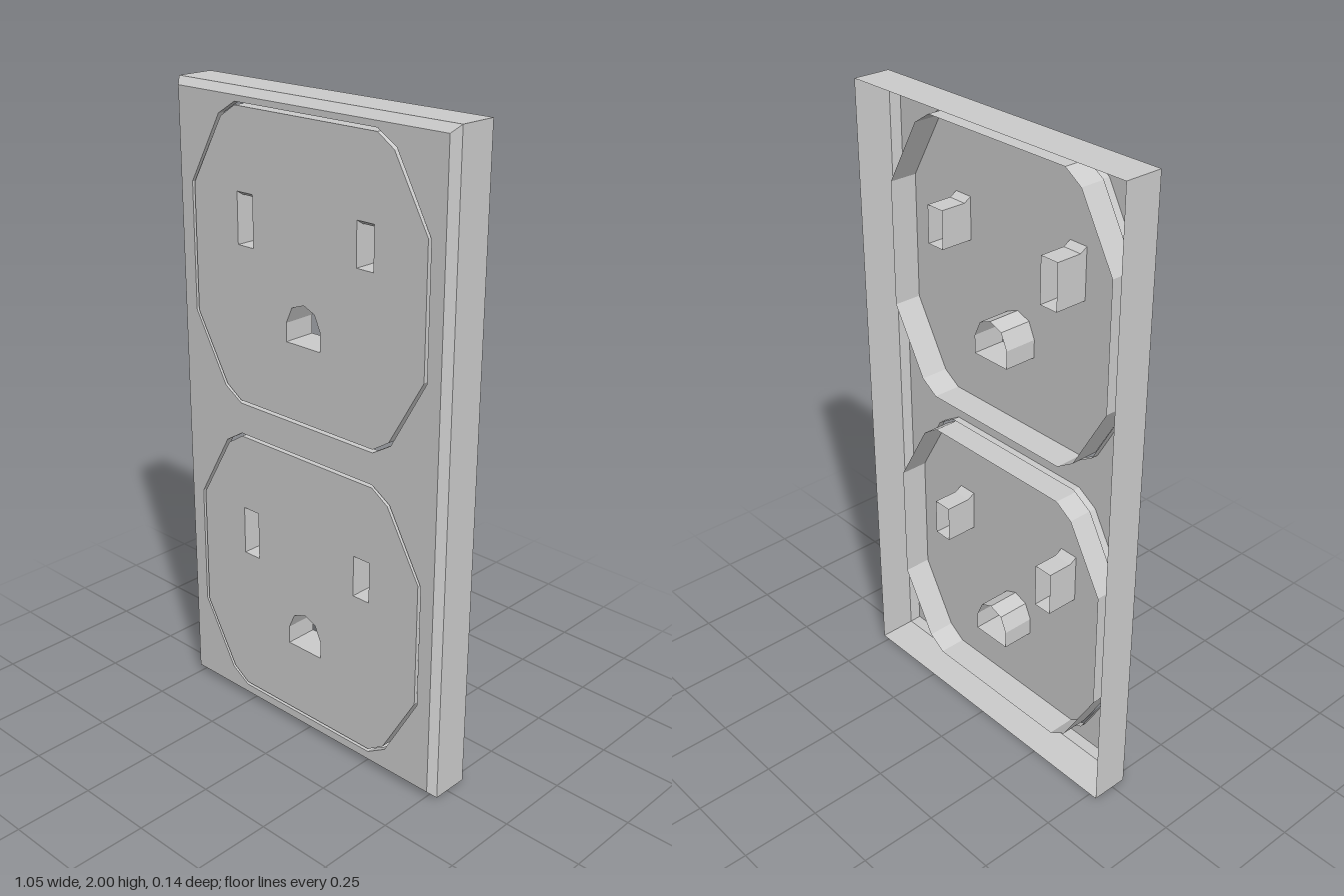
import * as THREE from 'three';

const FRONT = 0.071, BEVEL = 0.048, BACK = -0.073;
const material = new THREE.MeshStandardMaterial({ color: 0xcccccc, flatShading: true, side: THREE.DoubleSide });

function addMesh(parent, name, geometry) {
  const mesh = new THREE.Mesh(geometry, material);
  mesh.name = name;
  parent.add(mesh);
}

// Closed strip of wall joining successive outlines, each { z, points }
function wall(sections) {
  const position = [], index = [];
  const n = sections[0].points.length;
  for (const { z, points } of sections) for (const [x, y] of points) position.push(x, y, z);
  for (let s = 0; s < sections.length - 1; s++) {
    for (let i = 0; i < n; i++) {
      const a = s * n + i, b = s * n + (i + 1) % n;
      index.push(a, a + n, b, b, a + n, b + n);
    }
  }
  const geometry = new THREE.BufferGeometry();
  geometry.setAttribute('position', new THREE.Float32BufferAttribute(position, 3));
  geometry.setIndex(index);
  geometry.computeVertexNormals();
  return geometry;
}

// Flat sheet with holes at the front plane
function sheet(outline, holes) {
  const toVectors = pts => pts.map(([x, y]) => new THREE.Vector2(x, y));
  const shape = new THREE.Shape(toVectors(outline));
  for (const h of holes) shape.holes.push(new THREE.Path(toVectors(h)));
  return new THREE.ShapeGeometry(shape).translate(0, 0, FRONT);
}

const rect = (x0, x1, y0, y1) => [[x0, y0], [x1, y0], [x1, y1], [x0, y1]];

// Twelve-cornered socket outline around a centre height, grown by g
function socketOutline(cy, g = 0) {
  const quarter = [[0.447 + g, 0.197], [0.327 + g * 0.8, 0.405 + g * 0.7], [0.268, 0.443 + g]];
  const half = [...quarter, ...quarter.map(([x, y]) => [-x, y]).reverse()];
  return [...half, ...half.map(([x, y]) => [-x, -y])].map(([x, y]) => [x, y + cy]);
}

function createSocket(cy) {
  const socket = new THREE.Group();
  socket.name = 'socket';
  const outline = socketOutline(cy);
  const slots = [[-0.265, -0.202, 0.043], [0.2, 0.262, 0.068]];
  const slotRect = ([x0, x1, y0], top) => rect(x0, x1, cy + y0, cy + top);
  const ground = [[-0.07, -0.207], [0.065, -0.207], [0.065, -0.15], [0.042, -0.1], [0, -0.083],
    [-0.047, -0.1], [-0.07, -0.15]].map(([x, y]) => [x, y + cy]);

  addMesh(socket, 'socketFace', sheet(outline, [...slots.map(s => slotRect(s, 0.2)), ground]));
  addMesh(socket, 'socketSkirt', wall([{ z: FRONT, points: outline }, { z: -0.02, points: outline }]));

  // Blade slots, their top edge sloping down just behind the face
  for (const s of slots) {
    addMesh(socket, 'bladeSlot', wall([
      { z: FRONT, points: slotRect(s, 0.2) },
      { z: BEVEL, points: slotRect(s, 0.186) },
      { z: -0.035, points: slotRect(s, 0.186) },
    ]));
  }
  addMesh(socket, 'groundHole', wall([{ z: FRONT, points: ground }, { z: -0.035, points: ground }]));
  return socket;
}

export function createModel() {
  const model = new THREE.Group();
  model.name = 'wallOutlet';
  const centres = [0.502, 1.507];
  const outer = rect(-0.526, 0.526, 0, 2);
  const inner = rect(-0.505, 0.505, 0.022, 1.978);
  const openings = centres.map(cy => socketOutline(cy, 0.01));

  // Cover plate: front sheet, bevelled rim open at the back, and opening lips
  addMesh(model, 'plateFront', sheet(inner, openings));
  addMesh(model, 'plateRim', wall([
    { z: FRONT, points: inner }, { z: BEVEL, points: outer }, { z: BACK, points: outer },
  ]));
  for (const o of openings) {
    addMesh(model, 'openingLip', wall([{ z: FRONT, points: o }, { z: BEVEL, points: o }]));
  }

  for (const cy of centres) model.add(createSocket(cy));
  return model;
}
